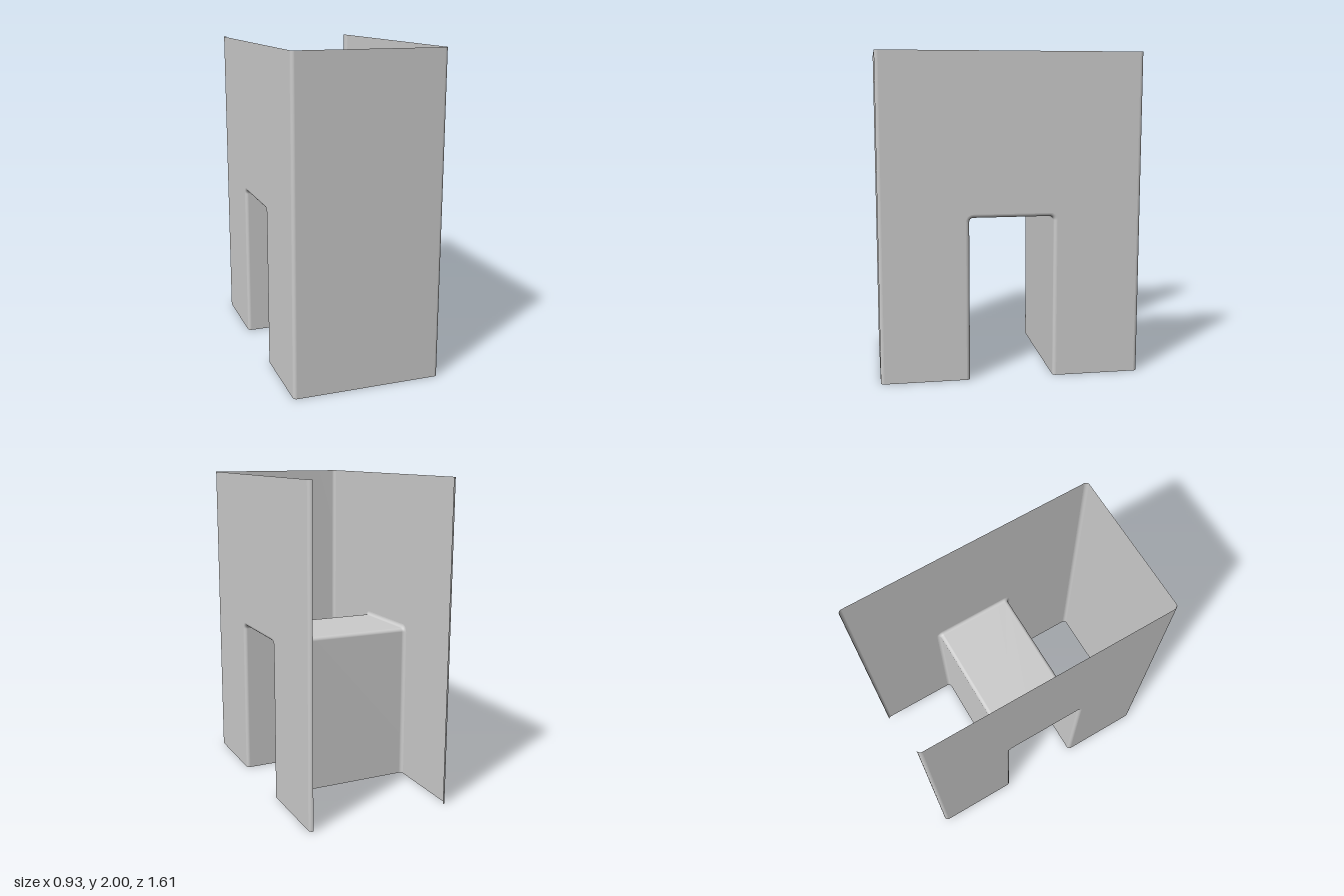
import * as THREE from 'three';

const X = 0.463, Z = 0.807, H = 2;      // half width, half depth, height
const F = 0.022;                        // bend radius
const TZ = 0.26, TY = 1.008, TR = 0.024; // passage half width, height, corner radius
const STEPS = 6;

const material = new THREE.MeshStandardMaterial({ color: 0xcccccc, side: THREE.DoubleSide });

// Skin a list of cross-sections (equal-length arrays of [x, y, z])
function skin(rows) {
  const n = rows[0].length, index = [];
  for (let i = 0; i < rows.length - 1; i++) {
    for (let j = 0; j < n - 1; j++) {
      const a = i * n + j, b = a + n;
      index.push(a, b, a + 1, b, b + 1, a + 1);
    }
  }
  const g = new THREE.BufferGeometry();
  g.setAttribute('position', new THREE.Float32BufferAttribute(rows.flat(2), 3));
  g.setIndex(index);
  g.computeVertexNormals();
  return g;
}

// Points of a quarter arc, calling fn with the angle from 0 to 90 degrees
const arc = fn => Array.from({ length: STEPS + 1 }, (_, i) => fn(i / STEPS * Math.PI / 2));

// Passage outline in [z, y], grown outward by d
function archOutline(d) {
  const r = TR + d, cz = TZ - TR, cy = TY - TR;
  const right = arc(a => [cz + r * Math.cos(a), cy + r * Math.sin(a)]);
  const left = right.map(([z, y]) => [-z, y]).reverse();
  return [[TZ + d, 0], ...right, ...left, [-TZ - d, 0]];
}

export function createModel() {
  const group = new THREE.Group();
  const add = (geometry, name) => {
    const mesh = new THREE.Mesh(geometry, material);
    mesh.name = name;
    group.add(mesh);
  };

  // Front panel with a rounded bend at each side
  const bend = arc(a => [X - F + F * Math.cos(a), Z - F + F * Math.sin(a)]);
  const front = [...bend, ...bend.map(([x, z]) => [-x, z]).reverse()];
  add(skin([0, H].map(y => front.map(([x, z]) => [x, y, z]))), 'frontPanel');

  // Side panels notched around the passage, with an inward lip at the open back
  const shape = new THREE.Shape();
  shape.moveTo(Z - F, 0);
  shape.lineTo(Z - F, H);
  shape.lineTo(-Z + F, H);
  shape.lineTo(-Z + F, 0);
  archOutline(F).reverse().forEach(([z, y]) => shape.lineTo(z, y));
  for (const s of [1, -1]) {
    const side = s > 0 ? 'left' : 'right';
    const panel = new THREE.ShapeGeometry(shape);
    panel.rotateY(-Math.PI / 2);  // shape x becomes z
    panel.translate(s * X, 0, 0);
    // Face the panel outward
    if (s > 0) {
      panel.setIndex(Array.from(panel.index.array).reverse());
      panel.computeVertexNormals();
    }
    add(panel, side + 'Panel');
    const lip = bend.map(([x, z]) => [s * x, -z]);
    if (s > 0) lip.reverse();
    add(skin([0, H].map(y => lip.map(([x, z]) => [x, y, z]))), side + 'BackLip');
  }

  // Passage lining, flaring smoothly into both side panels
  const flare = arc(a => [X - F + F * Math.sin(a), F - F * Math.cos(a)]);
  const stations = [...flare.map(([x, d]) => [-x, d]).reverse(), ...flare];
  add(skin(stations.map(([x, d]) => archOutline(d).map(([z, y]) => [x, y, z]))), 'passageLining');

  return group;
}
